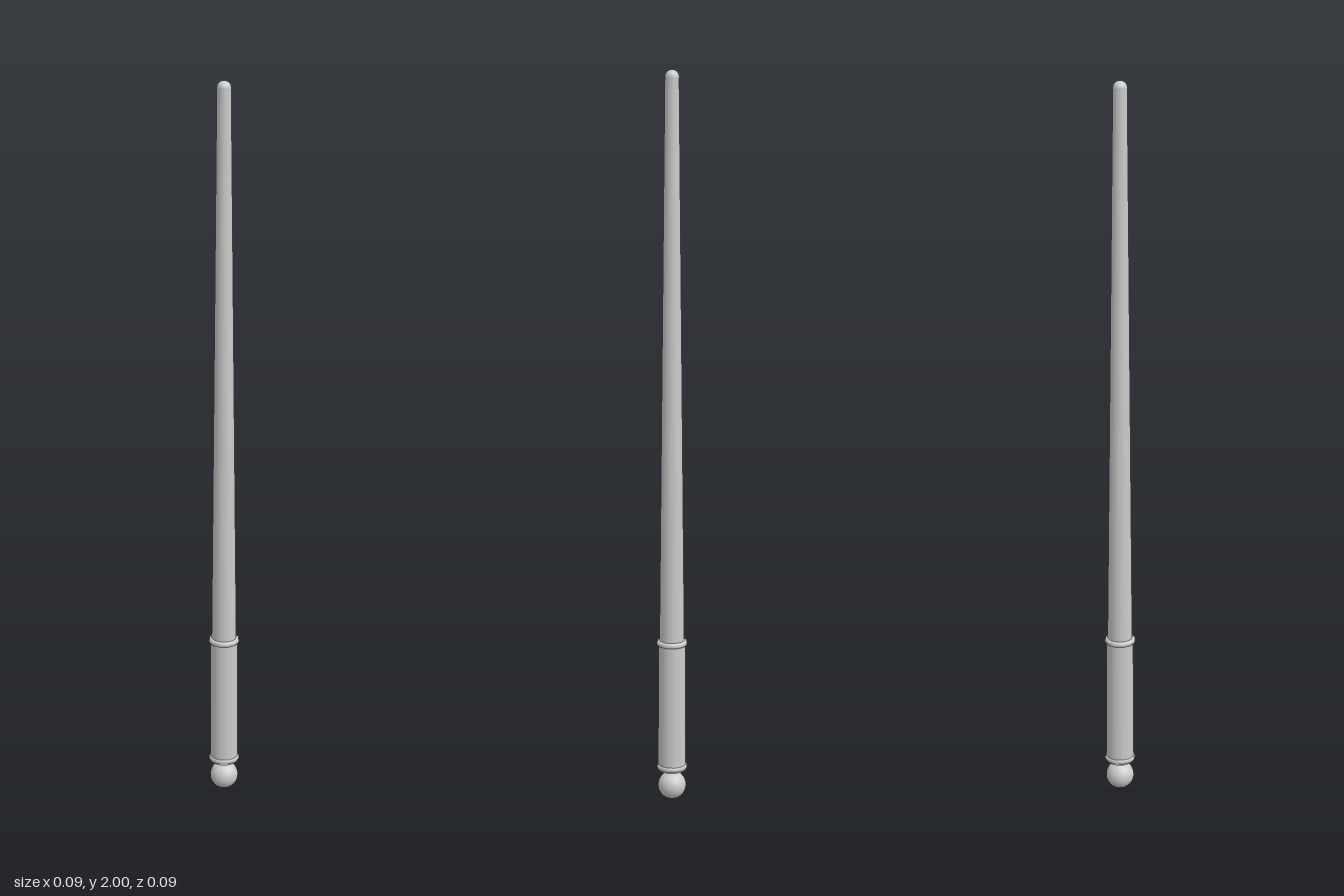
import * as THREE from 'three';

const SIDES = 12;

export function createModel() {
  const model = new THREE.Group();
  const material = new THREE.MeshStandardMaterial({ color: 0xcccccc });

  const add = (name, geometry, y) => {
    const mesh = new THREE.Mesh(geometry, material);
    mesh.name = name;
    mesh.position.y = y;
    model.add(mesh);
    return mesh;
  };

  // Round pommel at the foot
  add('pommel', new THREE.SphereGeometry(0.039, 24, 16), 0.039);

  // Grip
  add('handle', new THREE.CylinderGeometry(0.038, 0.039, 0.36, SIDES), 0.265);

  // Collars at both ends of the grip
  for (const [name, y] of [['lowerCollar', 0.095], ['upperCollar', 0.452]]) {
    add(name, new THREE.TorusGeometry(0.035, 0.008, 8, SIDES).rotateX(Math.PI / 2), y);
  }

  // Long tapering shaft with a rounded tip
  const bottom = 0.44, top = 1.981;
  add('shaft', new THREE.CylinderGeometry(0.019, 0.035, top - bottom, SIDES), (bottom + top) / 2);
  add('tip', new THREE.SphereGeometry(0.019, 20, 12), top);

  return model;
}
